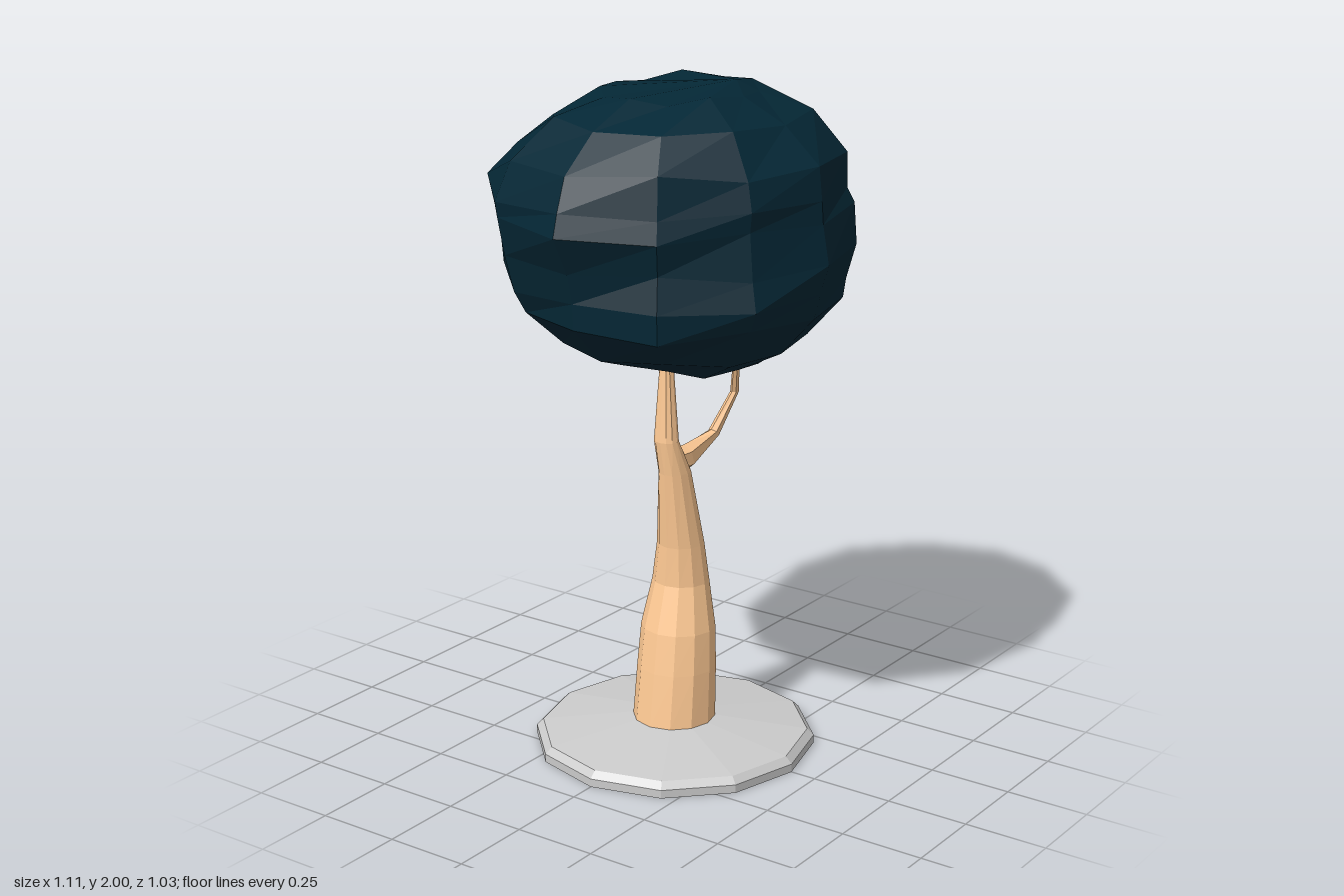
import * as THREE from 'three';

const SIDES = 12;

// Skin a stack of rings (each an array of Vector3); optional end points close it
function loft(rings, start, end) {
  const n = rings[0].length;
  const pos = rings.flat().flatMap((p) => p.toArray());
  const index = [];
  for (let i = 0; i < rings.length - 1; i++) {
    for (let j = 0; j < n; j++) {
      const a = i * n + j, b = i * n + (j + 1) % n;
      index.push(a, a + n, b, b, a + n, b + n);
    }
  }
  const cap = (p, base, flip) => {
    const c = pos.length / 3;
    pos.push(...p.toArray());
    for (let j = 0; j < n; j++) {
      const a = base + j, b = base + (j + 1) % n;
      index.push(c, flip ? b : a, flip ? a : b);
    }
  };
  if (start) cap(start, 0, false);
  if (end) cap(end, (rings.length - 1) * n, true);
  const g = new THREE.BufferGeometry();
  g.setAttribute('position', new THREE.Float32BufferAttribute(pos, 3));
  g.setIndex(index);
  g.computeVertexNormals();
  return g;
}

const ringOf = (n, f) => Array.from({ length: n }, (_, j) => f((j / n) * Math.PI * 2, j));

function part(name, geometry, color, side = THREE.FrontSide) {
  const mesh = new THREE.Mesh(geometry,
    new THREE.MeshStandardMaterial({ color, flatShading: true, side }));
  mesh.name = name;
  return mesh;
}

// Shallow bevelled shell, open underneath and around the trunk
function makeBase() {
  const profile = [[0.42, 0], [0.42, 0.025], [0.4, 0.045], [0.12, 0.08]]
    .map(([r, y]) => new THREE.Vector2(r, y));
  return part('base', new THREE.LatheGeometry(profile, SIDES), 0xcccccc, THREE.DoubleSide);
}

// Leaning, tapering hollow trunk: y, min x, max x, min z, max z
function makeTrunk() {
  const rows = [
    [0.08, -0.127, 0.122, -0.123, 0.123],
    [0.24, -0.103, 0.129, -0.121, 0.117], [0.36, -0.082, 0.133, -0.118, 0.108],
    [0.5, -0.04, 0.124, -0.094, 0.079], [0.62, -0.036, 0.104, -0.073, 0.068],
    [0.85, -0.052, 0.053, -0.046, 0.046], [0.95, -0.063, 0.002, -0.046, 0.03],
    [1.2, -0.04, 0, -0.032, 0.004],
  ];
  const rings = rows.map(([y, x0, x1, z0, z1]) => ringOf(SIDES, (a) => new THREE.Vector3(
    (x0 + x1) / 2 + Math.cos(a) * (x1 - x0) / 2, y,
    (z0 + z1) / 2 + Math.sin(a) * (z1 - z0) / 2)));
  return part('trunk', loft(rings, null, new THREE.Vector3(-0.02, 1.2, -0.014)),
    0xffca94, THREE.DoubleSide);
}

// Thin crooked branch: x, y, z, half thickness, half depth
function makeBranch() {
  const path = [
    [-0.03, 0.875, -0.005, 0.045, 0.025], [0.045, 0.884, 0.01, 0.042, 0.028],
    [0.157, 0.932, 0.03, 0.018, 0.017], [0.218, 1.05, 0.062, 0.015, 0.012],
    [0.172, 1.22, 0.102, 0.011, 0.007],
  ];
  const rings = path.map(([x, y, z, r, d], i) => {
    const p = path[Math.max(i - 1, 0)], q = path[Math.min(i + 1, path.length - 1)];
    const t = new THREE.Vector2(q[0] - p[0], q[1] - p[1]).normalize();
    return ringOf(6, (a) => new THREE.Vector3(
      x + t.y * Math.cos(a) * r, y - t.x * Math.cos(a) * r, z + Math.sin(a) * d));
  });
  return part('branch', loft(rings, null, new THREE.Vector3(0.172, 1.22, 0.102)), 0xffca94);
}

// Lumpy faceted crown: y, then the reach in eight directions from +x through +z
function makeCrown() {
  const rows = [
    [1.195, 0.24, 0.25, 0.22, 0.18, 0.14, 0.15, 0.14, 0.2],
    [1.265, 0.36, 0.39, 0.36, 0.36, 0.35, 0.33, 0.29, 0.34],
    [1.38, 0.45, 0.47, 0.465, 0.51, 0.47, 0.45, 0.4, 0.45],
    [1.455, 0.55, 0.49, 0.485, 0.52, 0.475, 0.49, 0.46, 0.52],
    [1.54, 0.55, 0.51, 0.51, 0.49, 0.495, 0.51, 0.475, 0.55],
    [1.65, 0.515, 0.5, 0.49, 0.475, 0.553, 0.53, 0.47, 0.55],
    [1.715, 0.485, 0.49, 0.485, 0.475, 0.535, 0.53, 0.507, 0.53],
    [1.81, 0.465, 0.475, 0.475, 0.465, 0.5, 0.48, 0.38, 0.47],
    [1.91, 0.385, 0.39, 0.365, 0.37, 0.375, 0.36, 0.29, 0.36],
    [1.975, 0.24, 0.24, 0.23, 0.22, 0.21, 0.21, 0.2, 0.22],
  ];
  const rings = rows.map(([y, ...reach], i) => ringOf(SIDES, (a, j) => {
    const k = Math.floor(j * 8 / SIDES);
    const lump = j % 3 ? Math.sin(i * 2.3 + j * 1.7) : 0;
    const r = THREE.MathUtils.lerp(reach[k], reach[(k + 1) % 8], j * 8 / SIDES - k)
      * (1.01 + 0.015 * lump);
    const rise = j % 3 ? 0.014 * Math.sin(i * 1.9 + j * 2.6) : 0;
    return new THREE.Vector3(Math.cos(a) * r, y + rise, Math.sin(a) * r);
  }));
  return part('crown', loft(rings, new THREE.Vector3(0, 1.17, 0),
    new THREE.Vector3(0.1, 2, 0.14)), 0x042735);
}

export function createModel() {
  const tree = new THREE.Group();
  tree.name = 'tree';
  tree.add(makeBase(), makeTrunk(), makeBranch(), makeCrown());
  return tree;
}
